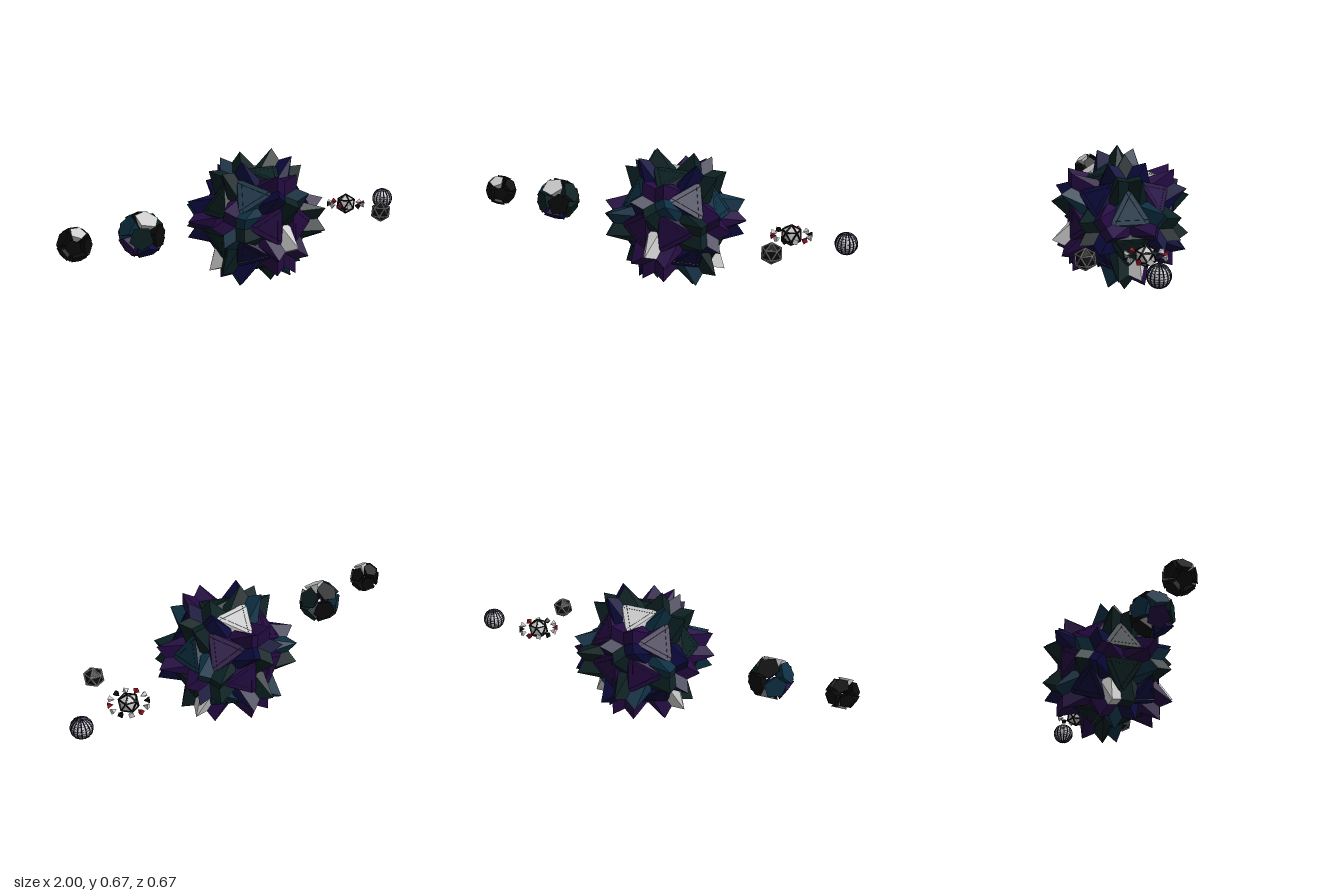
import * as THREE from 'three';

const PHI = (1 + Math.sqrt(5)) / 2;
const MID = 0.338;
const PURPLE = 0x240a42, NAVY = 0x0b093c, GREEN = 0x0b2022, TEAL = 0x0d3044;
const BLACK = 0x0a0a0a, GREY = 0xcccccc, RED = 0x8a1222, INK = 0x14142e;
const V = (x, y, z) => new THREE.Vector3(x, y, z);

const materials = {};
function mat(color) {
  return materials[color] ??= new THREE.MeshStandardMaterial({ color, flatShading: true, side: THREE.DoubleSide });
}
function part(name, geometry, color, parent) {
  const mesh = new THREE.Mesh(geometry, mat(color));
  mesh.name = name;
  parent.add(mesh);
  return mesh;
}
function body(name, x, z, parent) {
  const g = new THREE.Group();
  g.name = name;
  g.position.set(x, MID, z);
  parent.add(g);
  return g;
}

// the twelve five-fold axes
const AXES = [];
for (const a of [1, -1]) for (const b of [PHI, -PHI]) {
  AXES.push(V(a, b, 0).normalize(), V(0, a, b).normalize(), V(b, 0, a).normalize());
}
// direction from axis d towards its closest other five-fold axis, at a right angle to d
function sideOf(d) {
  const near = AXES.filter(n => n.dot(d) < 0.99).sort((p, q) => q.dot(d) - p.dot(d))[0];
  return near.clone().addScaledVector(d, -near.dot(d)).normalize();
}

// wedge through the centre: wide triangle on the d side, small twisted triangle behind
function wedge(d, color, parent) {
  const e = sideOf(d), wide = [], small = [];
  for (let k = 0; k < 3; k++) {
    const dir = e.clone().applyAxisAngle(d, k * 2 * Math.PI / 3);
    wide.push(d.clone().multiplyScalar(0.211).addScaledVector(dir, 0.28));
    small.push(d.clone().multiplyScalar(-0.25).addScaledVector(dir, -0.115));
  }
  const pts = [];
  for (let f = 0; f < 8; f++) {
    const c = [0, 1, 2].map(k => ((f >> k) & 1 ? small[k] : wide[k]));
    const normal = c[1].clone().sub(c[0]).cross(c[2].clone().sub(c[0]));
    if (normal.dot(c[0]) < 0) c.reverse();
    pts.push(...c);
  }
  const geo = new THREE.BufferGeometry().setFromPoints(pts);
  geo.computeVertexNormals();
  part('wedge', geo, color, parent);
}

// twenty wedges, one along every three-fold axis
function spikyStar(parent) {
  const g = body('spikyStar', 0.085, 0, parent);
  const p = PHI, q = 1 / PHI;
  const list = [
    [p, q, 0, GREEN], [p, -q, 0, GREEN], [-p, q, 0, GREEN], [-p, -q, 0, TEAL],
    [q, 0, p, PURPLE], [q, 0, -p, PURPLE], [-q, 0, p, PURPLE], [-q, 0, -p, PURPLE],
    [0, p, q, GREEN], [0, p, -q, GREEN], [0, -p, q, GREY], [0, -p, -q, GREEN],
    [1, 1, 1, NAVY], [1, 1, -1, NAVY], [1, -1, 1, PURPLE], [1, -1, -1, TEAL],
    [-1, 1, 1, TEAL], [-1, 1, -1, NAVY], [-1, -1, 1, PURPLE], [-1, -1, -1, NAVY]
  ];
  for (const [x, y, z, color] of list) wedge(V(x, y, z).normalize(), color, g);
}

// twelve pentagonal blocks around a centre, wide face outwards
function blockBall(name, x, rOut, rIn, far, near, twist, colors, parent) {
  const g = body(name, x, 0, parent);
  const geo = new THREE.CylinderGeometry(rOut, rIn, far - near, 5);
  geo.rotateY(twist);
  AXES.forEach((a, i) => {
    const n = V(a.y, a.x, a.z);
    const s = sideOf(a);
    const z = V(s.y, s.x, s.z).negate();
    const isGrey = n.y > 0.8 && n.z > 0.4;
    const m = part('block', geo, isGrey ? GREY : colors[i % colors.length], g);
    m.quaternion.setFromRotationMatrix(new THREE.Matrix4().makeBasis(n.clone().cross(z), n, z));
    m.position.copy(n).multiplyScalar((far + near) / 2);
  });
}

// icosahedron with a strut along every edge, one corner pointing up
function framedIcosahedron(R, thick, faceColor, strutColor, parent) {
  const g = new THREE.Group();
  g.name = 'framedIcosahedron';
  g.rotation.z = Math.atan(1 / PHI);
  part('facets', new THREE.IcosahedronGeometry(R * 0.97), faceColor, g);
  for (let i = 0; i < 12; i++) for (let j = i + 1; j < 12; j++) {
    if (AXES[i].dot(AXES[j]) < 0.4) continue;
    const a = AXES[i].clone().multiplyScalar(R), b = AXES[j].clone().multiplyScalar(R);
    const m = part('strut', new THREE.CylinderGeometry(thick, thick, a.distanceTo(b), 6), strutColor, g);
    m.quaternion.setFromUnitVectors(V(0, 1, 0), b.clone().sub(a).normalize());
    m.position.copy(a).add(b).multiplyScalar(0.5);
  }
  parent.add(g);
}

// ball with a ring of little pyramids around its waist
function ringedBall(parent) {
  const g = body('ringedBall', 0.682, 0, parent);
  framedIcosahedron(0.05, 0.004, GREY, BLACK, g);
  const colors = [GREY, RED, GREY, BLACK];
  for (let i = 0; i < 12; i++) {
    const a = i / 12 * Math.PI * 2;
    const m = part('ringPyramid', new THREE.ConeGeometry(0.017, 0.028, 4), colors[i % 4], g);
    m.position.set(Math.cos(a) * 0.083, 0, Math.sin(a) * 0.083);
    m.quaternion.setFromUnitVectors(V(0, 1, 0), V(-Math.cos(a), 0, -Math.sin(a)));
  }
}

// ball wrapped in meridians and parallels
function gridBall(parent) {
  const g = body('gridBall', 0.946, 0, parent);
  part('core', new THREE.SphereGeometry(0.05, 24, 16), GREY, g);
  for (let i = 0; i < 8; i++) {
    part('meridian', new THREE.TorusGeometry(0.0505, 0.003, 5, 40), INK, g).rotation.y = (i + 0.5) * Math.PI / 8;
  }
  for (let i = 1; i < 14; i++) {
    const t = i / 14 * Math.PI;
    const m = part('parallel', new THREE.TorusGeometry(0.051 * Math.sin(t), 0.0009, 5, 40), INK, g);
    m.rotation.x = Math.PI / 2;
    m.position.y = 0.051 * Math.cos(t);
  }
}

export function createModel() {
  const model = new THREE.Group();
  model.name = 'polyhedronSystem';
  spikyStar(model);
  blockBall('splitBall', -0.923, 0.039, 0.006, 0.07, 0.01, 0, [BLACK], model);
  blockBall('hollowBall', -0.575, 0.058, 0.03, 0.094, 0.045, 0.3, [GREEN, BLACK, PURPLE, TEAL, BLACK, NAVY, GREEN], model);
  ringedBall(model);
  framedIcosahedron(0.05, 0.0035, BLACK, 0x999999, body('moon', 0.682, 0.265, model));
  gridBall(model);
  return model;
}
